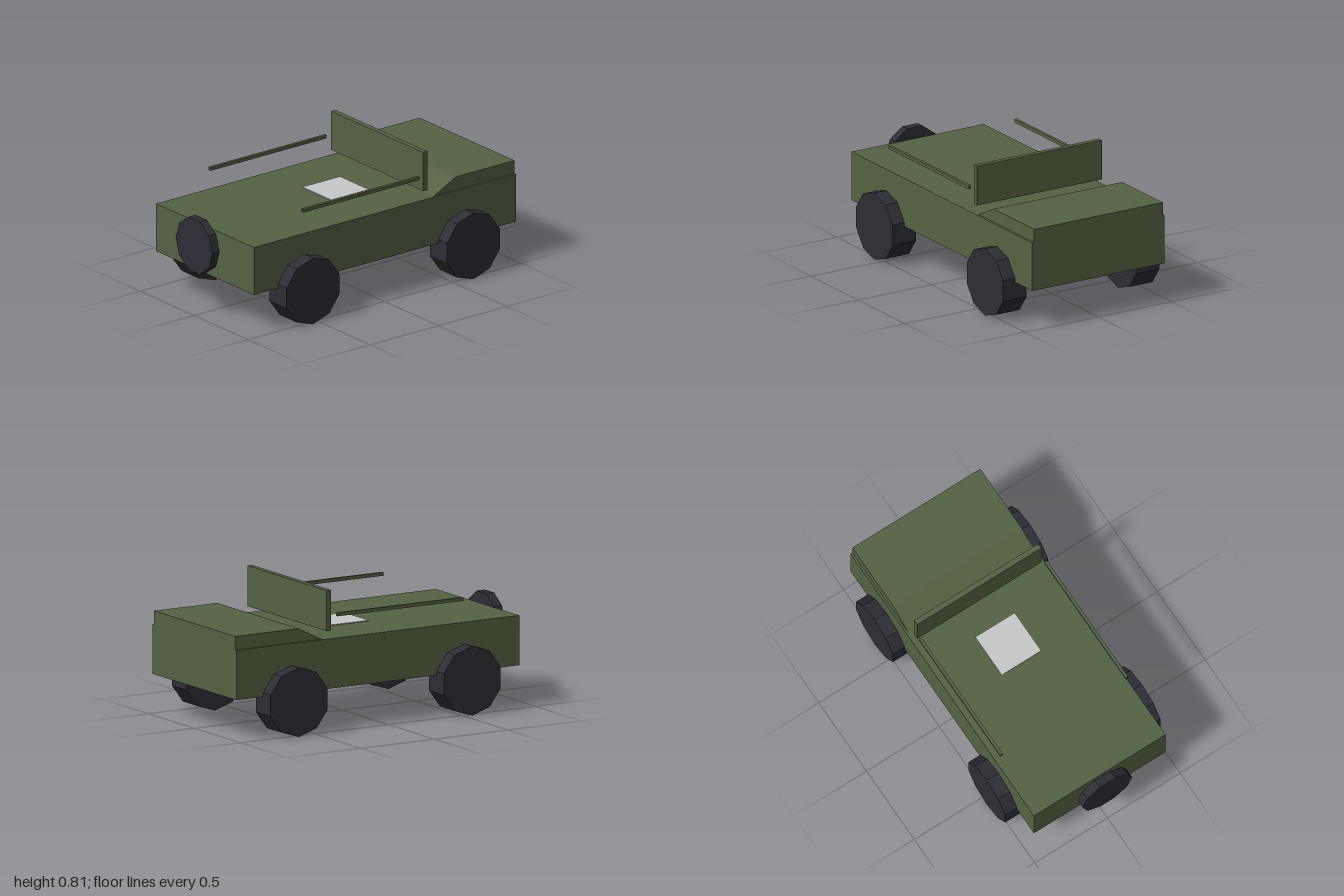
import * as THREE from 'three';

const green = new THREE.MeshStandardMaterial({ color: 0x566243 });
green.name = 'olive green';
const rubber = new THREE.MeshStandardMaterial({ color: 0x2d2e36 });
rubber.name = 'dark rubber';
const pale = new THREE.MeshStandardMaterial({ color: 0xc8c8ca });
pale.name = 'pale grey';

export function createModel() {
  const model = new THREE.Group();
  model.name = 'openTopVehicle';

  const add = (name, geometry, material, x, y, z) => {
    const mesh = new THREE.Mesh(geometry, material);
    mesh.name = name;
    mesh.position.set(x, y, z);
    model.add(mesh);
    return mesh;
  };

  // Box given by its limits on each axis
  const box = (name, material, [x0, x1], [y0, y1], [z0, z1]) =>
    add(name, new THREE.BoxGeometry(x1 - x0, y1 - y0, z1 - z0), material,
      (x0 + x1) / 2, (y0 + y1) / 2, (z0 + z1) / 2);

  // Ten-sided faceted wheel, its axle along y until turned
  const wheel = (radius, width) =>
    new THREE.CylinderGeometry(radius, radius, width, 10).toNonIndexed();
  const facet = (geometry) => {
    geometry.computeVertexNormals();
    return geometry;
  };

  // Main body
  box('body', green, [-0.92, 1], [0.242, 0.534], [-0.453, 0.453]);

  // Bonnet with a sloping rear edge
  const profile = new THREE.Shape([
    new THREE.Vector2(0.41, 0.534),
    new THREE.Vector2(1, 0.534),
    new THREE.Vector2(1, 0.614),
    new THREE.Vector2(0.57, 0.614),
  ]);
  const bonnet = new THREE.ExtrudeGeometry(profile, { depth: 0.88, bevelEnabled: false });
  add('bonnet', bonnet, green, 0, 0, -0.44);

  // Upright windscreen panel
  box('windscreen', green, [0.341, 0.373], [0.576, 0.814], [-0.427, 0.427]);

  // Pale panel on the deck
  box('deckPanel', pale, [-0.1, 0.175], [0.534, 0.539], [-0.134, 0.134]);

  // Side rails and road wheels, mirrored
  for (const side of [1, -1]) {
    const label = side > 0 ? 'Front' : 'Back';
    const z = 0.431 * side;
    box('rail' + label, green, [-0.548, 0.304], [0.657, 0.677], [z - 0.009, z + 0.009]);
    for (const x of [-0.55, 0.625]) {
      const geometry = facet(wheel(0.203, 0.159).rotateX(Math.PI / 2));
      add((x > 0 ? 'leading' : 'trailing') + 'Wheel' + label, geometry, rubber, x, 0.203, 0.4545 * side);
    }
  }

  // Spare wheel behind the tail
  add('spareWheel', facet(wheel(0.17, 0.053).rotateZ(Math.PI / 2)), rubber, -0.9735, 0.429, 0);

  return model;
}
